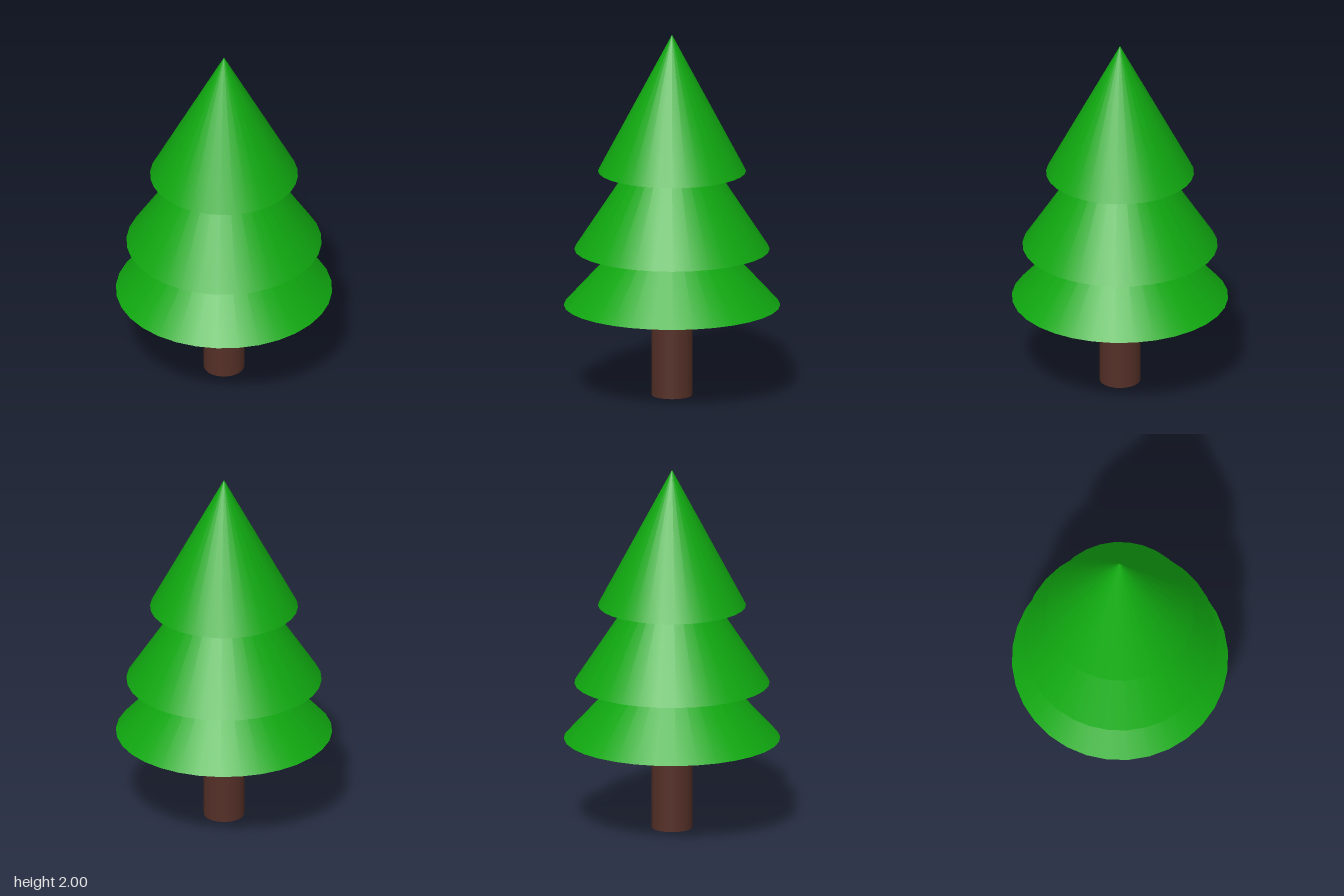
import * as THREE from 'three';

export function createModel() {
  const tree = new THREE.Group();
  tree.name = 'pineTree';

  const needles = new THREE.MeshStandardMaterial({ color: 0x10a810 });
  needles.name = 'needleGreen';
  const bark = new THREE.MeshStandardMaterial({ color: 0x542f27 });
  bark.name = 'barkBrown';

  // Trunk, reaching slightly into the lowest tier
  const trunkHeight = 0.52;
  const trunk = new THREE.Mesh(new THREE.CylinderGeometry(0.11, 0.11, trunkHeight, 32), bark);
  trunk.name = 'trunk';
  trunk.position.y = trunkHeight / 2;
  tree.add(trunk);

  // Foliage: three nested cones, [name, radius, base height, tip height]
  const tiers = [
    ['lowerFoliage', 0.585, 0.5, 1.14],
    ['middleFoliage', 0.528, 0.81, 1.617],
    ['upperFoliage', 0.4, 1.243, 2],
  ];
  for (const [name, radius, base, tip] of tiers) {
    const tier = new THREE.Mesh(new THREE.ConeGeometry(radius, tip - base, 32), needles);
    tier.name = name;
    tier.position.y = (base + tip) / 2;
    tree.add(tier);
  }

  return tree;
}
